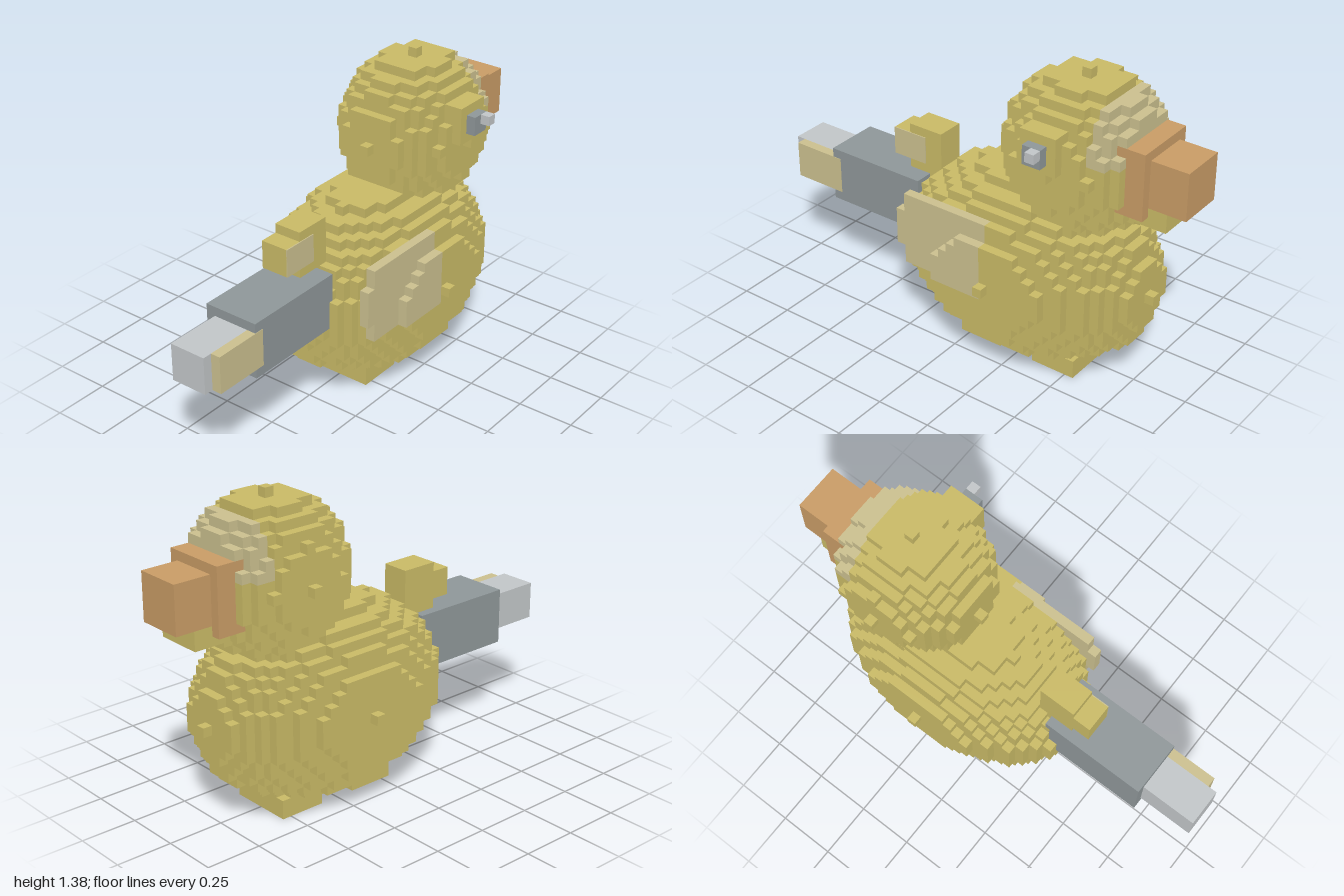
import * as THREE from 'three';
import { mergeGeometries } from 'three/addons/utils/BufferGeometryUtils.js';

const U = 1 / 24; // size of one cube

// Block between two corners, measured in cubes
function block(x0, x1, y0, y1, z0, z1) {
  const g = new THREE.BoxGeometry((x1 - x0) * U, (y1 - y0) * U, (z1 - z0) * U);
  return g.translate((x0 + x1) * U / 2, (y0 + y1) * U / 2, (z0 + z1) * U / 2);
}

// Stepped ellipsoid made of rows of cubes; keep() picks which cubes belong to it
function cubeEllipsoid([cx, cy, cz], [rx, ry, rz], keep) {
  const rows = [];
  for (let dy = -ry; dy <= ry; dy++) {
    for (let dz = -rz; dz <= rz; dz++) {
      let start = null;
      for (let dx = -rx; dx <= rx + 1; dx++) {
        const inside = (dx / rx) ** 2 + (dy / ry) ** 2 + (dz / rz) ** 2 <= 1
          && keep(cx + dx, cy + dy, cz + dz);
        if (inside && start === null) start = dx;
        if (!inside && start !== null) {
          rows.push(block(cx + start - 0.5, cx + dx - 0.5, cy + dy - 0.5, cy + dy + 0.5,
            cz + dz - 0.5, cz + dz + 0.5));
          start = null;
        }
      }
    }
  }
  return mergeGeometries(rows);
}

export function createModel() {
  const mat = (name, color) => new THREE.MeshStandardMaterial({ name, color });
  const yellow = mat('yellow', 0xc9ba66);
  const cream = mat('cream', 0xcbc08f);
  const orange = mat('orange', 0xc99c66);
  const slate = mat('slate', 0x8f9799);
  const silver = mat('silver', 0xc2c6c8);

  const model = new THREE.Group();
  const add = (name, geometry, material) => {
    const mesh = new THREE.Mesh(geometry, material);
    mesh.name = name;
    model.add(mesh);
  };

  // Body, with the wing patch and tail socket left out
  const bodyC = [5.5, 10.5, 0], bodyR = [14, 10, 9];
  const inWing = (x, y, z) => x > -5 && x < 5 && y > 9 && y < 17 && z >= 7;
  const inTail = (x, y, z) => x < -7 && y > 10 && y < 16 && z > -2.5 && z < 3.5;
  add('body', cubeEllipsoid(bodyC, bodyR, (x, y, z) => !inWing(x, y, z) && !inTail(x, y, z)), yellow);

  // Wing on the front side only
  add('wing', mergeGeometries([
    cubeEllipsoid(bodyC, bodyR, inWing),
    block(-5, 5, 9, 17, 6.5, 7.5),
    block(-6, -5, 11, 15, 6.5, 7.5),
  ]), cream);

  // Head, with a pale brow above the beak
  const headC = [11.5, 24.5, 0], headR = [8, 8, 7];
  const inBeak = (x, y, z) => x > 17 && y > 21 && y < 28 && Math.abs(z) < 3.5;
  const inBrow = (x, y) => x > 15 && y > 26;
  add('head', cubeEllipsoid(headC, headR, (x, y, z) => !inBrow(x, y) && !inBeak(x, y, z)), yellow);
  add('brow', cubeEllipsoid(headC, headR, (x, y, z) => inBrow(x, y) && !inBeak(x, y, z)), cream);

  // Beak and lower jaw
  add('beakBase', block(17, 20, 21, 28, -3.5, 3.5), orange);
  add('beakTip', block(20, 24, 22, 27, -2.5, 2.5), orange);
  add('lowerJaw', block(16, 22, 20, 22, -2.5, 2.5), yellow);

  // Single eye
  add('eyeMound', block(9, 13, 25, 29, 5.5, 7.5), yellow);
  add('eye', block(10, 12, 26, 28, 7.5, 8.5), slate);
  add('eyeGlint', block(11, 12, 27, 28, 8.5, 9.5), silver);

  // Long tail piece with its tip and side strip
  add('tailBar', block(-18, -6.5, 10, 16, -2.5, 3.5), slate);
  add('tailTip', block(-24, -18, 11, 15, -1.5, 2.5), silver);
  add('tailStrip', block(-23, -17, 11, 15, 2.5, 3.55), cream);

  // Raised tail feather
  add('tailFeather', block(-9, -5, 14, 21, -1.5, 1.5), yellow);
  add('tailFeatherTip', block(-11, -8.5, 17, 20, -1.5, 1.49), yellow);
  add('tailFeatherPlate', block(-11, -7, 17, 20, 1.48, 1.6), cream);

  // Feet
  for (const x of [-1, 8]) add('foot', block(x, x + 5, 0, 2, -3.5, 3.5), yellow);

  return model;
}
